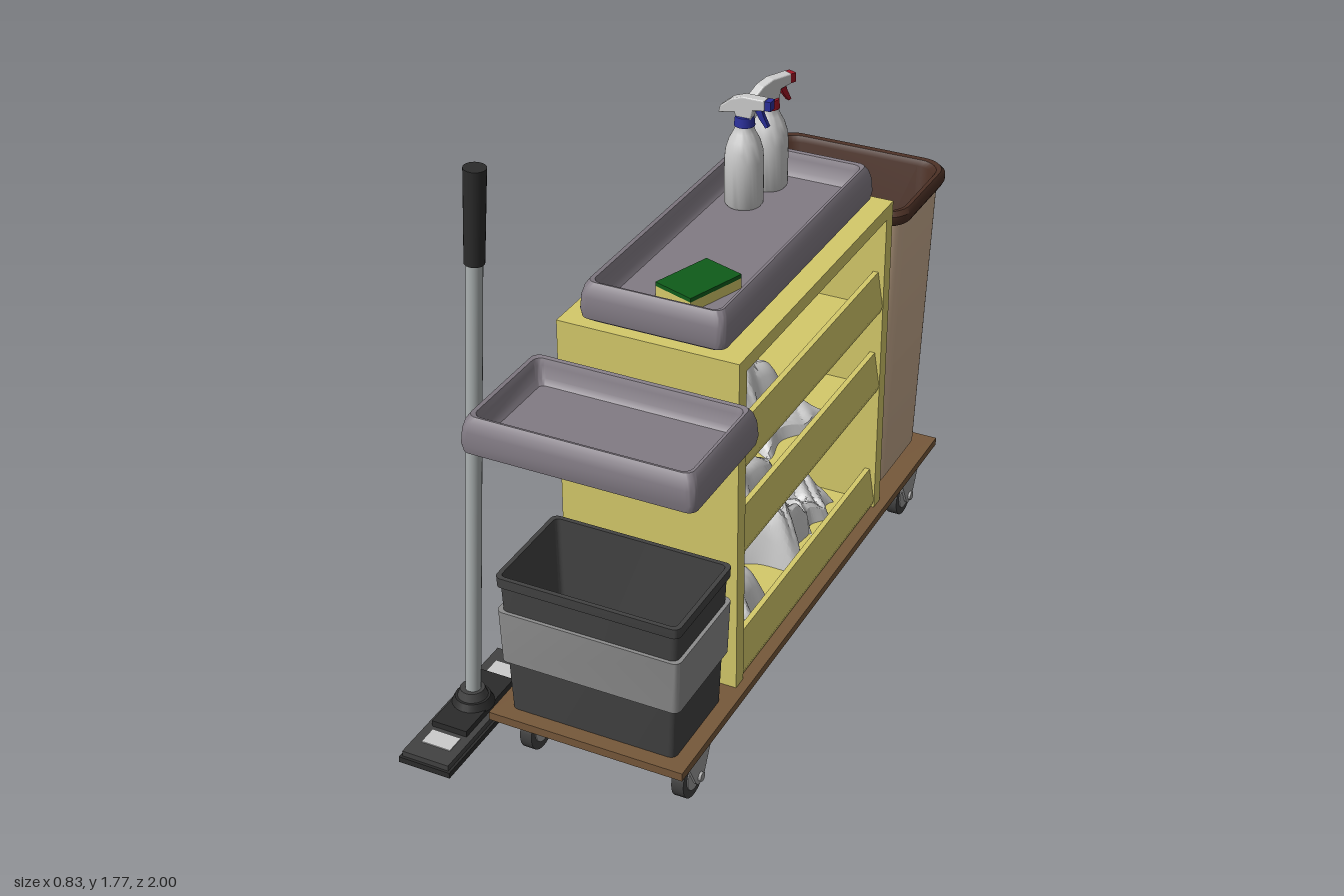
import * as THREE from 'three';
import { toCreasedNormals } from 'three/addons/utils/BufferGeometryUtils.js';

const mat = (color, side = THREE.FrontSide) => new THREE.MeshStandardMaterial({ color, side });
const M = {
  yellow: mat(0xd4c96a), wood: mat(0x76583a), grey: mat(0x827b84), dark: mat(0x424242),
  band: mat(0x8c8c8c), tan: mat(0xcbae91), brown: mat(0x4a2f24), black: mat(0x2b2b2b),
  white: mat(0xcccccc), cloth: mat(0xcccccc, THREE.DoubleSide), metal: mat(0x9a9a9a), pole: mat(0xaab0b0),
  blue: mat(0x2a2f9a), red: mat(0xa01525), green: mat(0x0f5c1a),
};
const CX = 0.083; // centre line of the cart

function add(parent, name, geo, material, x = 0, y = 0, z = 0) {
  const m = new THREE.Mesh(geo, material);
  m.name = name;
  m.position.set(x, y, z);
  parent.add(m);
  return m;
}
const box = (p, name, m, w, h, d, x, y, z) => add(p, name, new THREE.BoxGeometry(w, h, d), m, x, y, z);
const cyl = (p, name, m, rt, rb, h, x, y, z, n = 24) => add(p, name, new THREE.CylinderGeometry(rt, rb, h, n), m, x, y, z);

// Skin through rounded rectangles, each given as [halfWidth, halfDepth, y, cornerRadius]; zero width closes an end
function loft(rings, seg = 8) {
  const pos = [], idx = [], n = 4 * (seg + 1);
  for (const [hw, hd, y, r] of rings) {
    for (let c = 0; c < 4; c++) {
      const sx = c === 0 || c === 3 ? 1 : -1, sz = c < 2 ? 1 : -1;
      for (let k = 0; k <= seg; k++) {
        const a = (c + k / seg) * Math.PI / 2;
        pos.push(sx * (hw - r) + r * Math.cos(a), y, sz * (hd - r) + r * Math.sin(a));
      }
    }
  }
  for (let j = 0; j < rings.length - 1; j++) {
    for (let i = 0; i < n; i++) {
      const a = j * n + i, b = j * n + (i + 1) % n;
      if (rings[j][0] > 0) idx.push(a, a + n, b);
      if (rings[j + 1][0] > 0) idx.push(b, a + n, b + n);
    }
  }
  const g = new THREE.BufferGeometry();
  g.setAttribute('position', new THREE.Float32BufferAttribute(pos, 3));
  g.setIndex(idx);
  g.computeVertexNormals();
  return toCreasedNormals(g, 0.7);
}

function extrude(pts, depth, bevel = 0) {
  const shape = new THREE.Shape(pts.map(p => new THREE.Vector2(...p)));
  const g = new THREE.ExtrudeGeometry(shape, {
    depth, bevelEnabled: bevel > 0, bevelSize: bevel, bevelThickness: bevel, bevelSegments: 3 });
  return g.translate(0, 0, -depth / 2);
}

// Shallow tray with a rolled rim
function tray(parent, name, hw, hd, x, y, z) {
  const r = 0.025;
  add(parent, name, loft([
    [0, 0, 0, 0], [hw - 0.02, hd - 0.02, 0, r], [hw - 0.004, hd - 0.004, 0.012, r], [hw, hd, 0.035, r],
    [hw - 0.003, hd - 0.003, 0.075, r], [hw - 0.01, hd - 0.01, 0.1, r], [hw - 0.02, hd - 0.02, 0.115, r],
    [hw - 0.03, hd - 0.03, 0.112, r], [hw - 0.037, hd - 0.037, 0.095, 0.02],
    [hw - 0.043, hd - 0.043, 0.06, 0.02], [hw - 0.055, hd - 0.055, 0.045, 0.015], [0, 0, 0.045, 0]]), M.grey, x, y, z);
}

function caster(x, z) {
  const g = new THREE.Group();
  g.name = 'caster';
  g.position.set(x, 0, z);
  cyl(g, 'tyre', M.dark, 0.068, 0.068, 0.036, 0, 0.068, 0, 32).rotation.z = Math.PI / 2;
  cyl(g, 'hub', M.metal, 0.045, 0.045, 0.042, 0, 0.068, 0).rotation.z = Math.PI / 2;
  cyl(g, 'axle', M.metal, 0.014, 0.014, 0.088, 0, 0.068, 0, 12).rotation.z = Math.PI / 2;
  const fork = extrude([[-0.08, 0.165], [-0.025, 0.06], [-0.012, 0.046], [0.012, 0.046], [0.025, 0.06], [0.08, 0.165]], 0.008);
  for (const s of [-1, 1]) add(g, 'fork', fork, M.metal, s * 0.032, 0, 0).rotation.y = Math.PI / 2;
  box(g, 'mountingPlate', M.metal, 0.09, 0.012, 0.16, 0, 0.17, 0);
  return g;
}

function sprayBottle(accent, x, z, turn) {
  const g = new THREE.Group();
  g.name = 'sprayBottle';
  g.position.set(x, 1.275, z);
  g.rotation.y = turn;
  const profile = [[0, 0], [0.05, 0], [0.056, 0.008], [0.056, 0.14], [0.053, 0.17], [0.044, 0.2], [0.032, 0.222], [0.025, 0.24], [0.025, 0.255]];
  add(g, 'bottle', toCreasedNormals(new THREE.LatheGeometry(profile.map(p => new THREE.Vector2(...p)), 32), 0.7), M.white);
  cyl(g, 'collar', accent, 0.027, 0.03, 0.028, 0, 0.256, 0);
  add(g, 'sprayHead', extrude([[-0.07, 0.275], [-0.066, 0.29], [-0.035, 0.315], [0, 0.327], [0.062, 0.327], [0.062, 0.303],
    [0.028, 0.298], [0.02, 0.265], [-0.018, 0.265], [-0.022, 0.285], [-0.045, 0.28]], 0.024, 0.004), M.white);
  box(g, 'nozzle', accent, 0.02, 0.028, 0.028, 0.074, 0.315, 0);
  add(g, 'trigger', extrude([[0.03, 0.3], [0.052, 0.303], [0.06, 0.28], [0.075, 0.25], [0.066, 0.246], [0.046, 0.272]], 0.014), accent);
  return g;
}

// Crumpled cloth: a sheet raised in slanted folds that fade towards a ragged edge
function cloth(parent, w, d, h, x, y, z, seed, turn = 0) {
  const g = new THREE.PlaneGeometry(w, d, 30, 30).rotateX(-Math.PI / 2);
  const p = g.attributes.position;
  for (let i = 0; i < p.count; i++) {
    const px = p.getX(i), pz = p.getZ(i), u = px / w * 2, v = pz / d * 2;
    const fade = Math.sqrt(Math.max(0, (1 - u ** 4) * (1 - v ** 4)));
    const fold = 0.6 + 0.25 * Math.sin(4 * u + 3 * v + seed) + 0.15 * Math.abs(Math.sin(6 * u - 5 * v + seed * 2));
    p.setXYZ(i, px * (1 + 0.1 * Math.sin(5 * v + seed)), h * fade * fold, pz * (1 + 0.1 * Math.sin(4 * u + seed)));
  }
  add(parent, 'cloth', toCreasedNormals(g, 0.5), M.cloth, x, y, z).rotation.y = turn;
}

function mop() {
  const g = new THREE.Group();
  g.name = 'mop';
  g.position.set(-0.338, 0.055, 0.735);
  box(g, 'mopPad', M.black, 0.16, 0.018, 0.53, 0, 0.01, 0);
  box(g, 'mopPlate', M.dark, 0.145, 0.018, 0.515, 0, 0.027, 0);
  box(g, 'mopRaisedPlate', M.black, 0.11, 0.022, 0.26, 0, 0.044, 0);
  for (const s of [-1, 1]) box(g, 'padClip', M.white, 0.09, 0.004, 0.058, 0, 0.037, s * 0.173);
  cyl(g, 'swivelBase', M.black, 0.05, 0.062, 0.025, 0, 0.063, 0);
  cyl(g, 'swivel', M.dark, 0.035, 0.045, 0.03, 0, 0.085, 0);
  const handle = new THREE.Group();
  handle.name = 'mopHandle';
  handle.position.y = 0.055;
  handle.rotation.z = -0.058;
  cyl(handle, 'pole', M.pole, 0.022, 0.022, 1.45, 0, 0.735, 0);
  cyl(handle, 'grip', M.black, 0.03, 0.027, 0.265, 0, 1.532, 0);
  g.add(handle);
  return g;
}

export function createModel() {
  const root = new THREE.Group();
  root.name = 'cleaningCart';

  // Platform and wheels
  box(root, 'platform', M.wood, 0.585, 0.025, 1.845, CX, 0.188, -0.0625);
  for (const x of [-0.15, 0.317]) for (const z of [0.705, -0.825]) root.add(caster(x, z));

  // Cabinet: end panels, top and three lipped shelves open on both sides
  const cab = new THREE.Group();
  cab.name = 'cabinet';
  cab.position.set(CX, 0, -0.05);
  for (const s of [-1, 1]) box(cab, 'endPanel', M.yellow, 0.53, 1.03, 0.046, 0, 0.715, s * 0.497);
  box(cab, 'cabinetTop', M.yellow, 0.53, 0.042, 0.948, 0, 1.209, 0);
  const half = [[0.238, 0], [0.258, 0.006], [0.264, 0.025], [0.246, 0.135], [0.23, 0.135], [0.236, 0.04], [0.225, 0.022]];
  const section = [...half, ...half.map(([x, y]) => [-x, y]).reverse()];
  for (const y of [0.2, 0.61, 0.88]) add(cab, 'shelf', extrude(section, 0.96), M.yellow, 0, y, 0);
  root.add(cab);

  // Cloths on the shelves
  cloth(root, 0.36, 0.3, 0.2, 0.1, 0.222, 0.25, 1, 0.1);
  cloth(root, 0.3, 0.27, 0.2, 0.1, 0.222, -0.17, 4, 0.3);
  cloth(root, 0.32, 0.2, 0.13, 0.08, 0.222, -0.37, 2);
  cloth(root, 0.34, 0.32, 0.1, 0.1, 0.632, 0.2, 5, 0.2);
  cloth(root, 0.32, 0.3, 0.08, 0.08, 0.632, -0.2, 3, -0.2);
  cloth(root, 0.34, 0.27, 0.155, 0.1, 0.902, 0.16, 6);

  // Trays
  tray(root, 'topTray', 0.213, 0.503, CX, 1.23, -0.052);
  tray(root, 'frontTray', 0.335, 0.195, 0.08, 1.015, 0.67);

  // Bottles and sponge on the top tray
  root.add(sprayBottle(M.blue, 0.005, -0.287, 0));
  root.add(sprayBottle(M.red, 0.018, -0.425, 1.13));
  const sponge = new THREE.Group();
  sponge.name = 'sponge';
  sponge.position.set(0.122, 1.275, 0.243);
  sponge.rotation.y = -0.33;
  box(sponge, 'spongeBody', M.yellow, 0.13, 0.03, 0.19, 0, 0.015, 0);
  box(sponge, 'scouringPad', M.green, 0.13, 0.012, 0.19, 0, 0.036, 0);
  root.add(sponge);

  // Bucket with a wide band
  const bucket = new THREE.Group();
  bucket.name = 'bucket';
  bucket.position.set(CX, 0.2, 0.672);
  add(bucket, 'bucketBody', loft([[0, 0, 0.001, 0], [0.248, 0.143, 0.001, 0.02], [0.263, 0.155, 0.405, 0.02], [0.27, 0.163, 0.41, 0.02],
    [0.271, 0.164, 0.44, 0.02], [0.258, 0.151, 0.44, 0.015], [0.236, 0.131, 0.015, 0.015], [0, 0, 0.015, 0]], 4), M.dark);
  add(bucket, 'bucketBand', loft([[0.25, 0.145, 0.165, 0.02], [0.266, 0.158, 0.165, 0.02], [0.271, 0.163, 0.33, 0.02],
    [0.255, 0.147, 0.33, 0.02]], 4), M.band);
  root.add(bucket);

  // Waste bin with a dark liner and rolled rim
  const bin = new THREE.Group();
  bin.name = 'wasteBin';
  bin.position.set(CX, 0.2, -0.79);
  add(bin, 'binBody', loft([[0, 0, 0.001, 0], [0.225, 0.165, 0.001, 0.06], [0.236, 0.176, 0.015, 0.06],
    [0.268, 0.191, 0.94, 0.07]]), M.tan);
  add(bin, 'binRim', loft([[0.262, 0.185, 0.93, 0.07], [0.283, 0.203, 0.93, 0.08], [0.289, 0.209, 0.942, 0.08],
    [0.289, 0.209, 0.962, 0.08], [0.28, 0.2, 0.975, 0.08], [0.266, 0.186, 0.972, 0.07], [0.256, 0.178, 0.955, 0.07],
    [0.225, 0.163, 0.03, 0.06], [0, 0, 0.03, 0]]), M.brown);
  box(bin, 'binFloorPatch', M.tan, 0.17, 0.006, 0.08, 0, 0.034, -0.12);
  root.add(bin);

  root.add(mop());
  return root;
}
